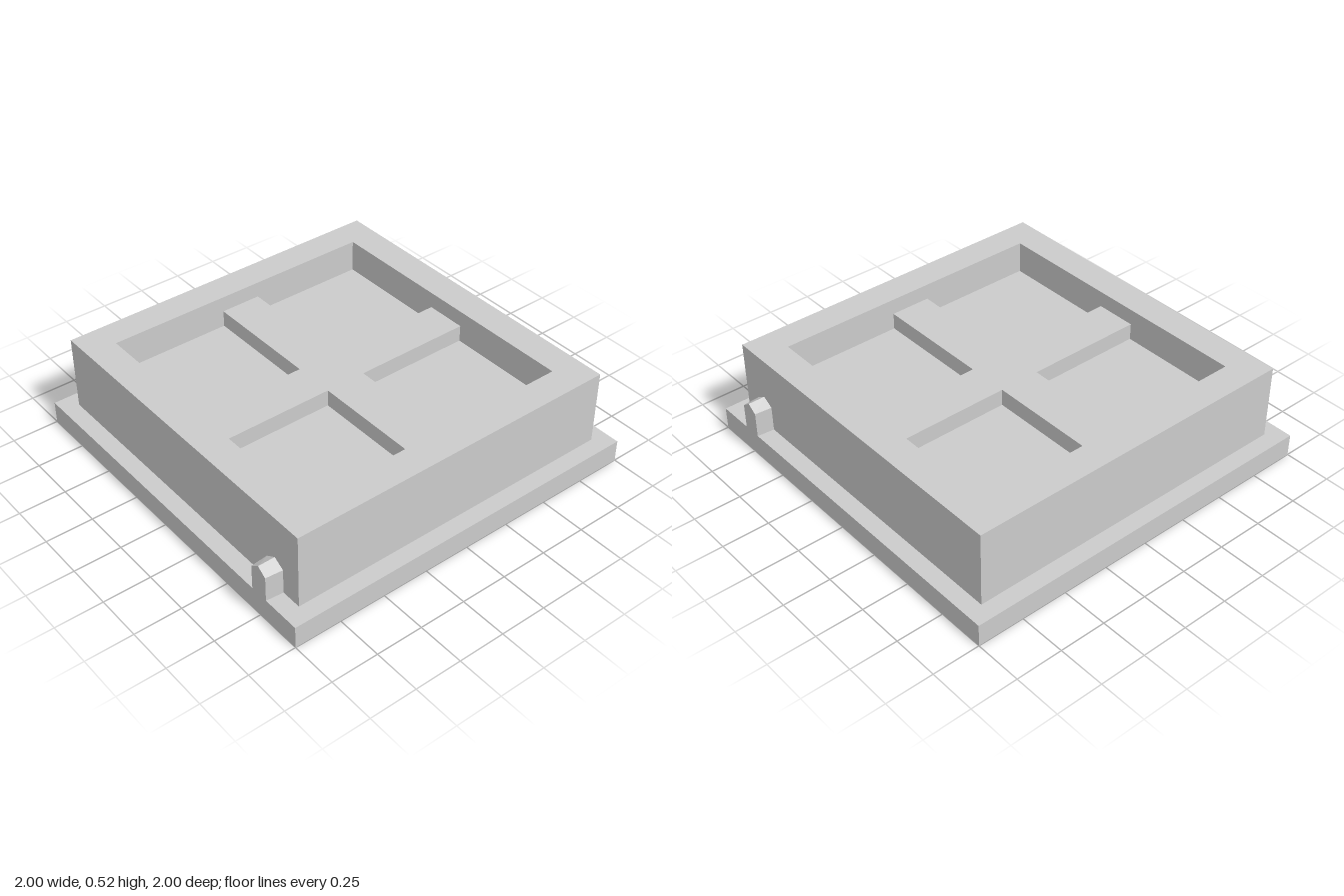
import * as THREE from 'three';

const material = new THREE.MeshStandardMaterial({ color: 0xcccccc, flatShading: true, side: THREE.DoubleSide });

// Heights of the pressed sheet
const FLANGE = 0.12, FLOOR = 0.345, CROSS = 0.435, TOP = 0.52;
// Half widths, from the outer rim to the cross arms
const RIM = 1, BODY = 0.91, PIT = 0.75, ARM = 0.11;

// Rectangle outline as [x, z], counter-clockwise seen from above
const rect = (x0, x1, z0, z1) => [[x0, z1], [x1, z1], [x1, z0], [x0, z0]];
const square = (h) => rect(-h, h, -h, h);

function add(group, name, geometry) {
  const mesh = new THREE.Mesh(geometry, material);
  mesh.name = name;
  group.add(mesh);
  return mesh;
}

// Thin upright walls along a closed outline
function walls(group, name, outline, y0, y1) {
  const pos = [];
  outline.forEach(([ax, az], i) => {
    const [bx, bz] = outline[(i + 1) % outline.length];
    pos.push(ax, y0, az, bx, y0, bz, bx, y1, bz, ax, y0, az, bx, y1, bz, ax, y1, az);
  });
  const geometry = new THREE.BufferGeometry();
  geometry.setAttribute('position', new THREE.Float32BufferAttribute(pos, 3));
  geometry.computeVertexNormals();
  add(group, name, geometry);
}

// Thin level sheet with an optional hole
function sheet(group, name, outline, y, hole) {
  const points = (o) => o.map(([x, z]) => new THREE.Vector2(x, -z));
  const shape = new THREE.Shape(points(outline));
  if (hole) shape.holes.push(new THREE.Path(points(hole)));
  const geometry = new THREE.ShapeGeometry(shape);
  geometry.rotateX(-Math.PI / 2);
  geometry.translate(0, y, 0);
  add(group, name, geometry);
}

// House-shaped peg, narrowing outwards
function peg(group, name, side, z) {
  const w = 0.058, eave = 0.255, ridge = 0.29, depth = RIM - BODY;
  const shape = new THREE.Shape([[-w, FLANGE], [w, FLANGE], [w, eave], [0, ridge], [-w, eave]]
    .map(([x, y]) => new THREE.Vector2(x, y)));
  const geometry = new THREE.ExtrudeGeometry(shape, { depth, bevelEnabled: false });
  const p = geometry.attributes.position;
  for (let i = 0; i < p.count; i++) p.setX(i, p.getX(i) * (1 - 0.14 * p.getZ(i) / depth));
  geometry.rotateY(side * Math.PI / 2);
  geometry.translate(side * BODY, 0, z);
  geometry.computeVertexNormals();
  add(group, name, geometry);
}

export function createModel() {
  const model = new THREE.Group();
  model.name = 'tray';

  // Hollow flange, open below
  walls(model, 'flangeWalls', square(RIM), 0, FLANGE);
  sheet(model, 'flangeTop', square(RIM), FLANGE, square(BODY));

  // Hollow body with a raised border around the pit
  walls(model, 'bodyWalls', square(BODY), 0, TOP);
  sheet(model, 'border', square(BODY), TOP, square(PIT));
  walls(model, 'pitWalls', square(PIT).reverse(), CROSS, TOP);

  // Cross between the four cells
  sheet(model, 'crossArmLong', rect(-ARM, ARM, -PIT, PIT), CROSS);
  for (const s of [-1, 1]) {
    const [a, b] = s < 0 ? [-PIT, -ARM] : [ARM, PIT];
    sheet(model, 'crossArmShort', rect(a, b, -ARM, ARM), CROSS);
  }

  // Four sunken cells
  for (const sx of [-1, 1]) for (const sz of [-1, 1]) {
    const [x0, x1] = sx < 0 ? [-PIT, -ARM] : [ARM, PIT];
    const [z0, z1] = sz < 0 ? [-PIT, -ARM] : [ARM, PIT];
    const cell = rect(x0, x1, z0, z1);
    sheet(model, 'cellFloor', cell, FLOOR);
    walls(model, 'cellWalls', cell.reverse(), FLOOR, CROSS);
  }

  // Side pegs standing on the flange
  peg(model, 'leftPeg', 1, 0.755);
  peg(model, 'rightPeg', -1, 0.743);

  return model;
}
